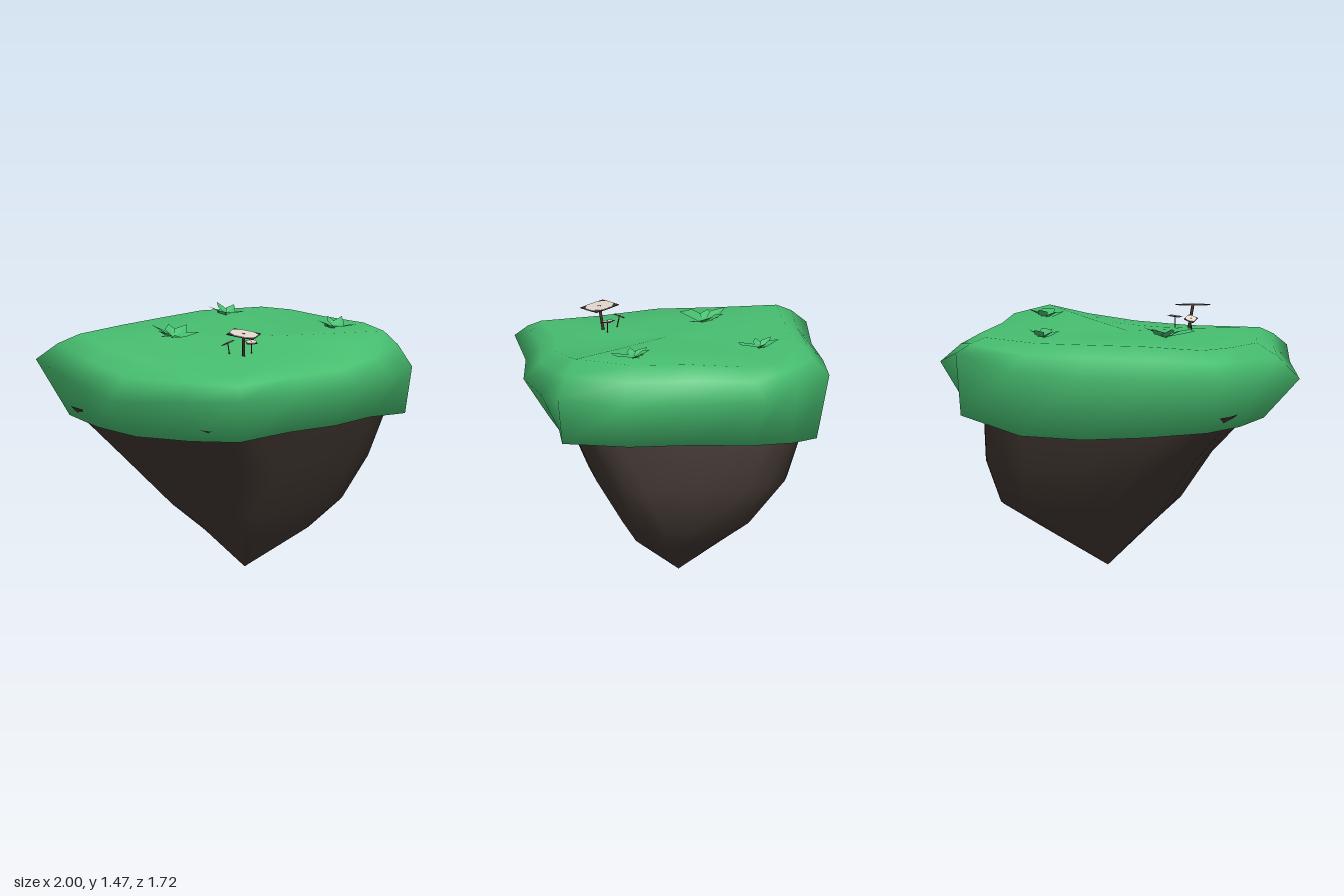
import * as THREE from 'three';

const flat = (name, color) => {
  const m = new THREE.MeshStandardMaterial({ color, side: THREE.DoubleSide });
  m.name = name;
  return m;
};

// Skin a list of closed rings (bottom to top) with smooth normals
function loft(rings) {
  const n = rings[0].length, index = [];
  for (let r = 0; r < rings.length - 1; r++) {
    for (let i = 0; i < n; i++) {
      const j = (i + 1) % n, a = r * n + i, b = r * n + j;
      index.push(a, a + n, b, b, a + n, b + n);
    }
  }
  const g = new THREE.BufferGeometry();
  g.setAttribute('position', new THREE.Float32BufferAttribute(rings.flat(2), 3));
  g.setIndex(index);
  g.computeVertexNormals();
  return g;
}

// Widest outline of the turf: x, z, height there, rim height, skirt height, skirt scale, rim scale
const OUTLINE = [
  [-0.74, -0.86, 1.20, 1.35, 0.88, 0.83, 0.78],
  [-0.30, -0.84, 1.19, 1.36, 0.85, 0.91, 0.79],
  [0.10, -0.86, 1.20, 1.36, 0.83, 0.92, 0.78],
  [0.50, -0.85, 1.22, 1.36, 0.84, 0.92, 0.79],
  [0.87, -0.62, 1.28, 1.36, 0.92, 0.97, 0.83],
  [1.00, -0.43, 1.20, 1.36, 0.91, 0.84, 0.78],
  [0.92, -0.03, 1.18, 1.37, 0.91, 0.86, 0.79],
  [0.90, 0.38, 1.17, 1.375, 0.91, 0.88, 0.81],
  [0.70, 0.73, 1.18, 1.385, 0.91, 0.96, 0.84],
  [0.47, 0.80, 1.15, 1.34, 0.92, 0.86, 0.79],
  [0.13, 0.86, 1.15, 1.30, 0.91, 0.82, 0.78],
  [-0.28, 0.80, 1.15, 1.29, 0.915, 0.86, 0.79],
  [-0.75, 0.81, 1.17, 1.285, 0.90, 0.82, 0.83],
  [-0.85, 0.43, 1.13, 1.29, 0.88, 0.84, 0.79],
  [-1.00, 0.00, 1.10, 1.30, 0.87, 0.79, 0.75],
  [-0.85, -0.43, 1.13, 1.32, 0.87, 0.86, 0.79],
];

function turfGeometry() {
  const ring = (f) => OUTLINE.map(([x, z, mid, top, low, skirt, rim]) => {
    const [k, y] = f(mid, top, low, skirt, rim);
    return [x * k, y, z * k];
  });
  const mix = THREE.MathUtils.lerp;
  return loft([
    ring(() => [0.6, 0.94]),
    ring((m, t, l, s) => [s, l]),
    ring((m) => [1, m]),
    ring((m, t, l, s, r) => [mix(1, r, 0.5), mix(m, t, 0.62)]),
    ring((m, t, l, s, r) => [r, t]),
    ring((m, t) => [0.4, mix(t, 1.345, 0.6)]),
    ring(() => [0.0005, 1.345]),
  ]);
}

// Rock: rounded-square sections y, x range, z range, squareness
function rockGeometry() {
  const sections = [
    [0, 0.11, 0.11, -0.03, -0.03, 2],
    [0.22, -0.11, 0.48, -0.26, 0.24, 2.7],
    [0.37, -0.27, 0.71, -0.42, 0.335, 2.9],
    [0.63, -0.45, 0.76, -0.62, 0.49, 4.2],
    [0.96, -0.75, 0.74, -0.72, 0.635, 7],
  ];
  const bend = (v, p) => Math.sign(v) * Math.abs(v) ** (2 / p);
  return loft(sections.map(([y, x0, x1, z0, z1, square]) =>
    Array.from({ length: 24 }, (_, i) => {
      const t = (i / 24) * Math.PI * 2;
      // The front corner on the -x side is sharper low down
      const p = i > 6 && i < 12 && y < 0.6 ? square * 2.2 : square;
      return [
        (x0 + x1) / 2 + bend(Math.cos(t), p) * (x1 - x0) / 2, y,
        (z0 + z1) / 2 + bend(Math.sin(t), p) * (z1 - z0) / 2,
      ];
    })));
}

// Tuft: pointed blades fanning out, plus one blunt leaf
function tuftGeometry(blades, leafAngle, leafLength, width) {
  const pos = [];
  const frame = (angle) => {
    const c = Math.cos(angle), s = Math.sin(angle);
    return (r, w, y) => [r * c - w * s, y, r * s + w * c];
  };
  for (const [angle, len, rise] of blades) {
    const at = frame(angle);
    pos.push(...at(0, 0, 0), ...at(len * 0.45, width, rise * 0.4), ...at(len, 0, rise));
    pos.push(...at(0, 0, 0), ...at(len, 0, rise), ...at(len * 0.45, -width * 0.8, rise * 0.7));
  }
  const at = frame(leafAngle);
  const [a, b, d, e] = [at(-0.03, -width, 0.01), at(-0.03, width, 0.01),
    at(leafLength, width, 0.035), at(leafLength, -width, 0.035)];
  pos.push(...a, ...b, ...d, ...a, ...d, ...e);
  const g = new THREE.BufferGeometry();
  g.setAttribute('position', new THREE.Float32BufferAttribute(pos, 3));
  g.computeVertexNormals();
  return g;
}

export function createModel() {
  const model = new THREE.Group();
  const green = flat('grass green', 0x47be70);
  const earth = flat('dark earth', 0x3f3530);
  const cream = flat('cap cream', 0xe2d7cd);
  const bark = flat('stem brown', 0x40302c);
  const grey = flat('spot grey', 0x857970);

  const add = (parent, name, geometry, material, x = 0, y = 0, z = 0) => {
    const m = new THREE.Mesh(geometry, material);
    m.name = name;
    m.position.set(x, y, z);
    parent.add(m);
    return m;
  };

  add(model, 'rock', rockGeometry(), earth);
  add(model, 'turf', turfGeometry(), green);

  // Grass tufts: position, blades as angle, length, rise, then leaf angle, length, width
  const tufts = [
    [-0.27, 1.345, -0.22, [[-0.15, 0.13, 0.06], [-1.05, 0.12, 0.06], [-2.0, 0.14, 0.07], [-2.8, 0.1, 0.05], [0.75, 0.15, 0.035]], 2.55, 0.16, 0.045],
    [0.39, 1.36, -0.46, [[-0.3, 0.09, 0.05], [-1.3, 0.115, 0.06], [-2.3, 0.1, 0.05], [3.0, 0.09, 0.04]], 1.5, 0.115, 0.033],
    [0.53, 1.36, 0.28, [[-0.45, 0.11, 0.055], [-1.25, 0.1, 0.06], [-2.2, 0.11, 0.05], [3.1, 0.1, 0.04]], 1.4, 0.12, 0.036],
  ];
  for (const [x, y, z, blades, angle, len, width] of tufts) {
    add(model, 'grassTuft', tuftGeometry(blades, angle, len, width), green, x, y, z);
  }

  // Mushrooms: thin tilted square brim with a cream eight-sided patch showing on both faces
  const mushroom = (name, base, top, r, tiltX, tiltZ, turn) => {
    const group = new THREE.Group();
    group.name = name;
    model.add(group);
    const path = new THREE.LineCurve3(new THREE.Vector3(...base), new THREE.Vector3(...top));
    add(group, 'stem', new THREE.TubeGeometry(path, 1, r * 0.08, 5), bark);
    const cap = new THREE.Group();
    cap.name = 'cap';
    cap.position.set(...top);
    cap.rotation.set(tiltX, 0, tiltZ);
    group.add(cap);
    add(cap, 'brim', new THREE.CylinderGeometry(r, r, 0.004, 4), bark).rotation.y = turn;
    add(cap, 'capPatch', new THREE.CylinderGeometry(r * 0.75, r * 0.75, 0.008, 8), cream).rotation.y = turn + Math.PI / 8;
    add(cap, 'capSpot', new THREE.CylinderGeometry(r * 0.09, r * 0.09, 0.003, 6), grey, 0, 0.004, 0);
  };
  mushroom('largeMushroom', [-0.27, 1.27, 0.35], [-0.297, 1.449, 0.375], 0.113, 0.14, -0.03, -0.28);
  mushroom('smallMushroom', [-0.2, 1.29, 0.34], [-0.2, 1.385, 0.34], 0.042, 0.1, 0.1, 0.2);
  mushroom('smallMushroom', [-0.31, 1.29, 0.28], [-0.31, 1.385, 0.26], 0.042, -0.4, 0.2, 0.5);

  return model;
}
